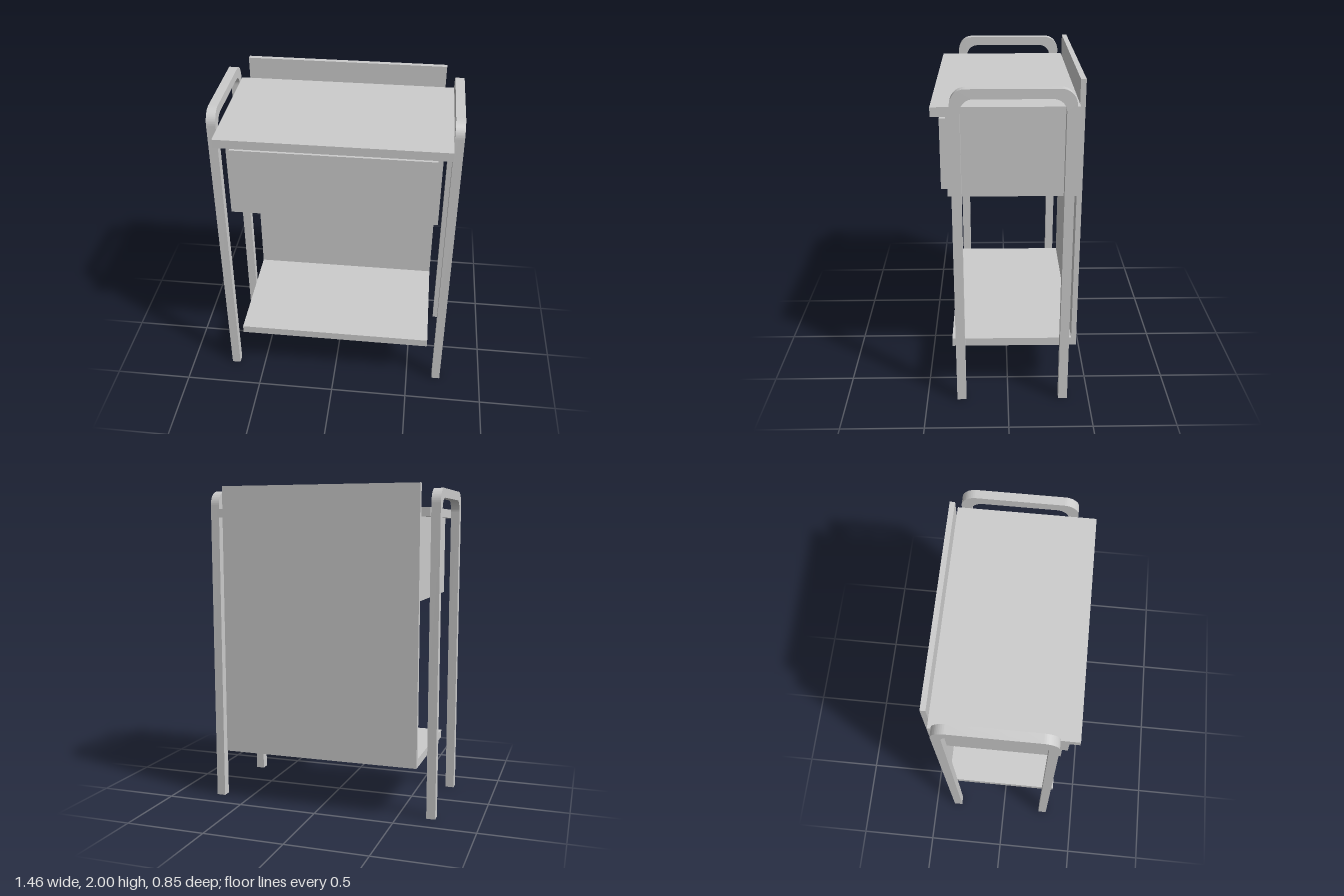
import * as THREE from 'three';
import { toCreasedNormals } from 'three/addons/utils/BufferGeometryUtils.js';

export function createModel() {
  const group = new THREE.Group();
  const material = new THREE.MeshStandardMaterial({ color: 0xcccccc });

  const add = (name, geometry) => {
    const mesh = new THREE.Mesh(geometry, material);
    mesh.name = name;
    group.add(mesh);
    return mesh;
  };

  // Box centred on x, given its half width and its y and z limits
  const board = (name, halfWidth, y0, y1, z0, z1) =>
    add(name, new THREE.BoxGeometry(halfWidth * 2, y1 - y0, z1 - z0))
      .position.set(0, (y0 + y1) / 2, (z0 + z1) / 2);

  board('tableTop', 0.675, 1.81, 1.863, -0.392, 0.423);
  board('backPanel', 0.623, 0.323, 2, -0.423, -0.392);
  board('drawerCase', 0.623, 1.323, 1.81, -0.392, 0.342);
  board('drawerFront', 0.593, 1.358, 1.775, 0.342, 0.381);
  board('lowerShelf', 0.623, 0.323, 0.375, -0.392, 0.342);

  // Side frame: two legs joined by a handle with rounded corners
  const front = -0.315, rear = 0.368, top = 1.975, bar = 0.055;
  const outerR = 0.088, innerR = 0.073;
  const f = front + bar, r = rear - bar, t = top - bar;
  const outline = new THREE.Shape();
  outline.moveTo(front, 0);
  outline.lineTo(f, 0);
  outline.lineTo(f, t - innerR);
  outline.absarc(f + innerR, t - innerR, innerR, Math.PI, Math.PI / 2, true);
  outline.absarc(r - innerR, t - innerR, innerR, Math.PI / 2, 0, true);
  outline.lineTo(r, 0);
  outline.lineTo(rear, 0);
  outline.absarc(rear - outerR, top - outerR, outerR, 0, Math.PI / 2, false);
  outline.absarc(front + outerR, top - outerR, outerR, Math.PI / 2, Math.PI, false);
  outline.closePath();

  const frame = toCreasedNormals(
    new THREE.ExtrudeGeometry(outline, { depth: bar, bevelEnabled: false, curveSegments: 12 })
      .rotateY(Math.PI / 2),
    0.6
  );
  add('leftSideFrame', frame).position.x = 0.675;
  add('rightSideFrame', frame).position.x = -0.675 - bar;

  return group;
}
